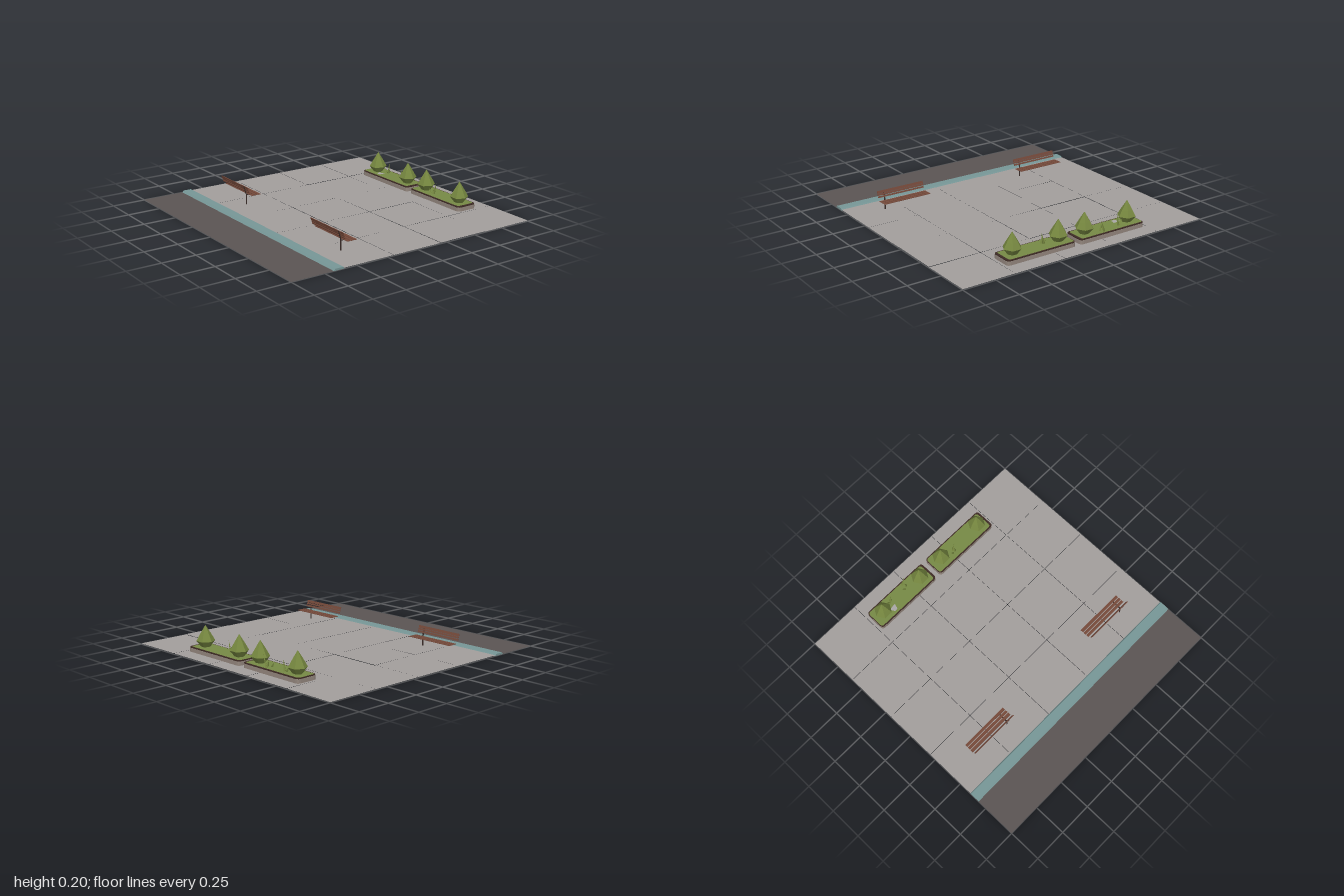
import * as THREE from 'three';

const mat = (name, color, extra = {}) => {
  const m = new THREE.MeshStandardMaterial({ color, flatShading: true, ...extra });
  m.name = name;
  return m;
};

export function createModel() {
  const both = { side: THREE.DoubleSide };
  const paving = mat('paving grey', 0xa29e9c, both);
  const asphalt = mat('asphalt', 0x5b5453, both);
  const kerbTeal = mat('kerb teal', 0x769696);
  const stone = mat('planter stone', 0x93867d);
  const soil = mat('soil brown', 0x3d2a24);
  const lawn = mat('lawn green', 0x768a45, both);
  const leaf = mat('leaf green', 0x75863f);
  const wood = mat('bench wood', 0x75493a, both);
  const iron = mat('bench iron', 0x3a2c28, both);
  const pebble = mat('pebble grey', 0xa9a7a5, both);

  const model = new THREE.Group();
  const add = (parent, name, geometry, material, x = 0, y = 0, z = 0) => {
    const mesh = new THREE.Mesh(geometry, material);
    mesh.name = name;
    mesh.position.set(x, y, z);
    parent.add(mesh);
    return mesh;
  };
  let seed = 7;
  const rand = () => (seed = (seed * 16807) % 2147483647) / 2147483647 - 0.5;

  // Slightly uneven paving slabs
  const pavement = new THREE.Group();
  pavement.name = 'pavement';
  model.add(pavement);
  for (let i = 0; i < 5; i++) {
    for (let j = 0; j < 4; j++) {
      const slab = new THREE.PlaneGeometry(0.398, 0.398).rotateX(-Math.PI / 2);
      slab.rotateX(rand() * 0.008).rotateZ(rand() * 0.008);
      add(pavement, 'slab', slab, paving, -0.8 + i * 0.4, 0.005 + rand() * 0.002, -0.8 + j * 0.4);
    }
  }

  // Road strip and bevelled kerb
  add(model, 'road', new THREE.PlaneGeometry(2, 0.32).rotateX(-Math.PI / 2), asphalt, 0, 0.001, 0.84);
  const profile = new THREE.Shape([[-0.68, 0], [-0.595, 0], [-0.607, 0.014], [-0.668, 0.014]]
    .map(([x, y]) => new THREE.Vector2(x, y)));
  add(model, 'kerb', new THREE.ExtrudeGeometry(profile, { depth: 2, bevelEnabled: false })
    .rotateY(Math.PI / 2), kerbTeal, -1, 0, 0);

  // Rounded rectangle centred on the origin
  const roundRect = (w, h, r) => {
    const s = new THREE.Shape();
    const a = w / 2, b = h / 2;
    s.moveTo(-a + r, -b);
    s.lineTo(a - r, -b);
    s.quadraticCurveTo(a, -b, a, -b + r);
    s.lineTo(a, b - r);
    s.quadraticCurveTo(a, b, a - r, b);
    s.lineTo(-a + r, b);
    s.quadraticCurveTo(-a, b, -a, b - r);
    s.lineTo(-a, -b + r);
    s.quadraticCurveTo(-a, -b, -a + r, -b);
    return s;
  };
  const slabOf = (w, h, r, depth) => new THREE.ExtrudeGeometry(roundRect(w, h, r),
    { depth, bevelEnabled: false, curveSegments: 3 }).rotateX(-Math.PI / 2);

  // Two planters, each with a pair of faceted shrubs
  const hex = Math.PI / 6;
  const shrubBase = new THREE.CylinderGeometry(0.067, 0.032, 0.045, 6, 1, false, hex).translate(0, 0.0225, 0);
  const shrubMid = new THREE.CylinderGeometry(0.042, 0.067, 0.045, 6, 1, true, hex).translate(0, 0.0675, 0);
  const shrubTip = new THREE.ConeGeometry(0.042, 0.069, 6, 1, true, hex).translate(0, 0.1245, 0);
  for (const side of [-1, 1]) {
    const planter = new THREE.Group();
    planter.name = side < 0 ? 'rightPlanter' : 'leftPlanter';
    planter.position.set(side * 0.299, 0, -0.802);
    model.add(planter);
    add(planter, 'planterWall', slabOf(0.558, 0.165, 0.025, 0.035), stone);
    add(planter, 'soilRim', slabOf(0.555, 0.163, 0.025, 0.007), soil, 0, 0.035);
    add(planter, 'lawn', new THREE.ShapeGeometry(roundRect(0.535, 0.147, 0.02), 3)
      .rotateX(-Math.PI / 2), lawn, -0.006, 0.0435);
    for (const end of [-1, 1]) {
      const shrub = new THREE.Group();
      shrub.name = 'shrub';
      shrub.position.set(end * 0.188, 0.041, 0);
      planter.add(shrub);
      add(shrub, 'shrubBase', shrubBase, leaf);
      add(shrub, 'shrubMiddle', shrubMid, leaf);
      add(shrub, 'shrubTip', shrubTip, leaf);
    }
  }

  // Grass blades: x, z, height, sideways lean
  const blades = [
    [-0.39, -0.83, 0.09, -0.15], [-0.405, -0.825, 0.045, 0.5],
    [-0.24, -0.86, 0.095, -0.3], [-0.225, -0.835, 0.06, 0.15], [-0.25, -0.82, 0.045, 0.6],
    [0.22, -0.79, 0.09, -0.25], [0.23, -0.775, 0.055, 0.1], [0.205, -0.77, 0.04, 0.5],
  ];
  for (const [x, z, h, lean] of blades) {
    const blade = add(model, 'grassBlade', new THREE.ConeGeometry(0.01, h, 4).translate(0, h / 2, 0),
      leaf, x, 0.042, z);
    blade.rotation.z = lean;
  }

  // Flat stone lying on the lawn
  const chip = new THREE.Shape([[-0.03, 0.012], [0.03, 0.02], [0.02, -0.02], [-0.005, -0.025]]
    .map(([x, y]) => new THREE.Vector2(x, y)));
  add(model, 'pebble', new THREE.ShapeGeometry(chip).rotateX(-Math.PI / 2), pebble, -0.415, 0.046, -0.77);

  // Two slatted benches facing the planters
  for (const x of [-0.6, 0.595]) {
    const bench = new THREE.Group();
    bench.name = x < 0 ? 'rightBench' : 'leftBench';
    bench.position.x = x;
    model.add(bench);
    for (const z of [0.354, 0.381, 0.408]) {
      add(bench, 'seatSlat', new THREE.BoxGeometry(0.38, 0.004, 0.021), wood, 0, 0.08, z);
    }
    for (const [y, z] of [[0.105, 0.438], [0.121, 0.443], [0.138, 0.449]]) {
      const slat = add(bench, 'backSlat', new THREE.BoxGeometry(0.38, y > 0.13 ? 0.019 : 0.012, 0.004), wood, 0, y, z);
      slat.rotation.x = 0.3;
    }
    add(bench, 'leg', new THREE.BoxGeometry(0.01, 0.08, 0.003), iron, 0.138, 0.044, 0.435);
    add(bench, 'seatBrace', new THREE.BoxGeometry(0.01, 0.003, 0.085), iron, 0.138, 0.077, 0.392);
    const brace = add(bench, 'backBrace', new THREE.BoxGeometry(0.01, 0.066, 0.003), iron, 0.138, 0.114, 0.445);
    brace.rotation.x = 0.3;
  }
  return model;
}
